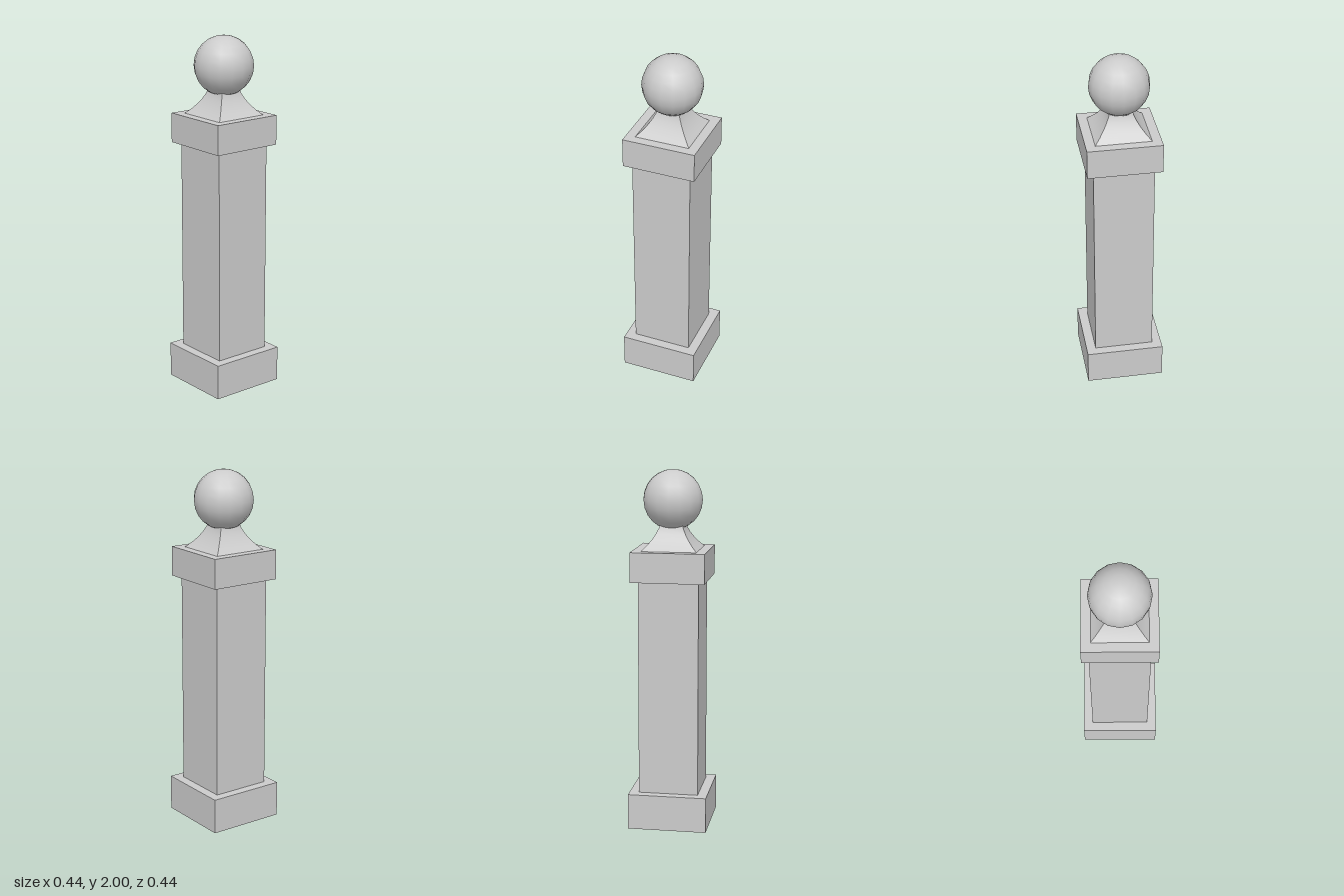
import * as THREE from 'three';
import { toCreasedNormals } from 'three/addons/utils/BufferGeometryUtils.js';

export function createModel() {
  const model = new THREE.Group();
  model.name = 'gatePost';
  const stone = new THREE.MeshStandardMaterial({ color: 0xcccccc });

  const add = (name, geometry, y = 0) => {
    const mesh = new THREE.Mesh(geometry, stone);
    mesh.name = name;
    mesh.position.y = y;
    model.add(mesh);
  };

  // Square block between two heights
  const block = (name, width, bottom, top) =>
    add(name, new THREE.BoxGeometry(width, top - bottom, width), (bottom + top) / 2);

  block('base', 0.44, 0, 0.2);
  block('shaft', 0.334, 0.2, 1.4);
  block('cap', 0.41, 1.4, 1.565);

  // Four-sided neck with concave flare: [half width, height]
  const flare = [[0.153, 1.565], [0.126, 1.592], [0.102, 1.622], [0.082, 1.653], [0.067, 1.685], [0.062, 1.71]];
  const profile = flare.map(([half, y]) => new THREE.Vector2(half * Math.SQRT2, y));
  add('neck', toCreasedNormals(new THREE.LatheGeometry(profile, 4, Math.PI / 4), 0.6));

  // Ball finial
  add('ballFinial', new THREE.SphereGeometry(0.165, 16, 12), 1.835);

  return model;
}
